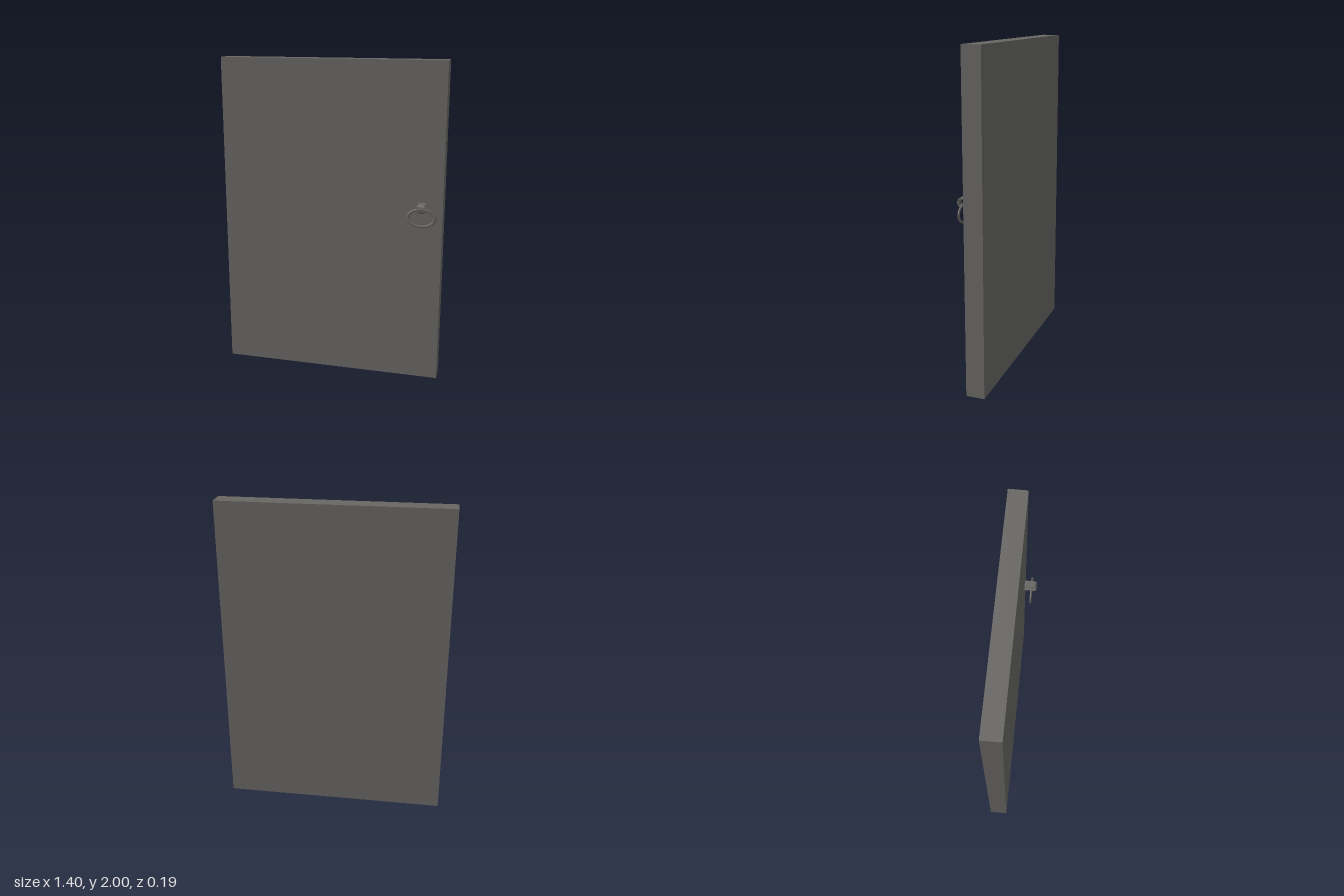
import * as THREE from 'three';

export function createModel() {
  const model = new THREE.Group();
  const gray = new THREE.MeshStandardMaterial({ color: 0x676663 });
  gray.name = 'darkGray';

  const add = (name, geometry, x, y, z, parent) => {
    const mesh = new THREE.Mesh(geometry, gray);
    mesh.name = name;
    mesh.position.set(x, y, z);
    parent.add(mesh);
    return mesh;
  };

  // Door slab
  add('doorSlab', new THREE.BoxGeometry(1.4, 2, 0.113), 0, 1, -0.0425, model);

  const handle = new THREE.Group();
  handle.name = 'handle';
  handle.position.set(0.577, 0, 0);
  model.add(handle);

  // Bent metal strap: a side profile (z, y) with an inner offset, extruded across x
  const outer = [[0.016, 1.154], [0.083, 1.154], [0.092, 1.146], [0.095, 1.13],
    [0.092, 1.113], [0.083, 1.104], [0.016, 1.104]];
  const inner = [[0.016, 1.11], [0.081, 1.11], [0.086, 1.116], [0.088, 1.13],
    [0.086, 1.142], [0.081, 1.148], [0.016, 1.148]];
  const profile = new THREE.Shape([...outer, ...inner].map(([z, y]) => new THREE.Vector2(z, y)));
  const strap = new THREE.ExtrudeGeometry(profile, { depth: 0.044, bevelEnabled: false });
  strap.translate(0, 0, -0.022);
  strap.rotateY(-Math.PI / 2);
  add('handleStrap', strap, 0, 0, 0, handle);

  // Oval pull ring hanging in the strap
  const ring = new THREE.TorusGeometry(0.0815, 0.0105, 10, 40);
  ring.scale(1, 0.652, 0.62);
  add('pullRing', ring, 0, 1.07, 0.06, handle);

  return model;
}
